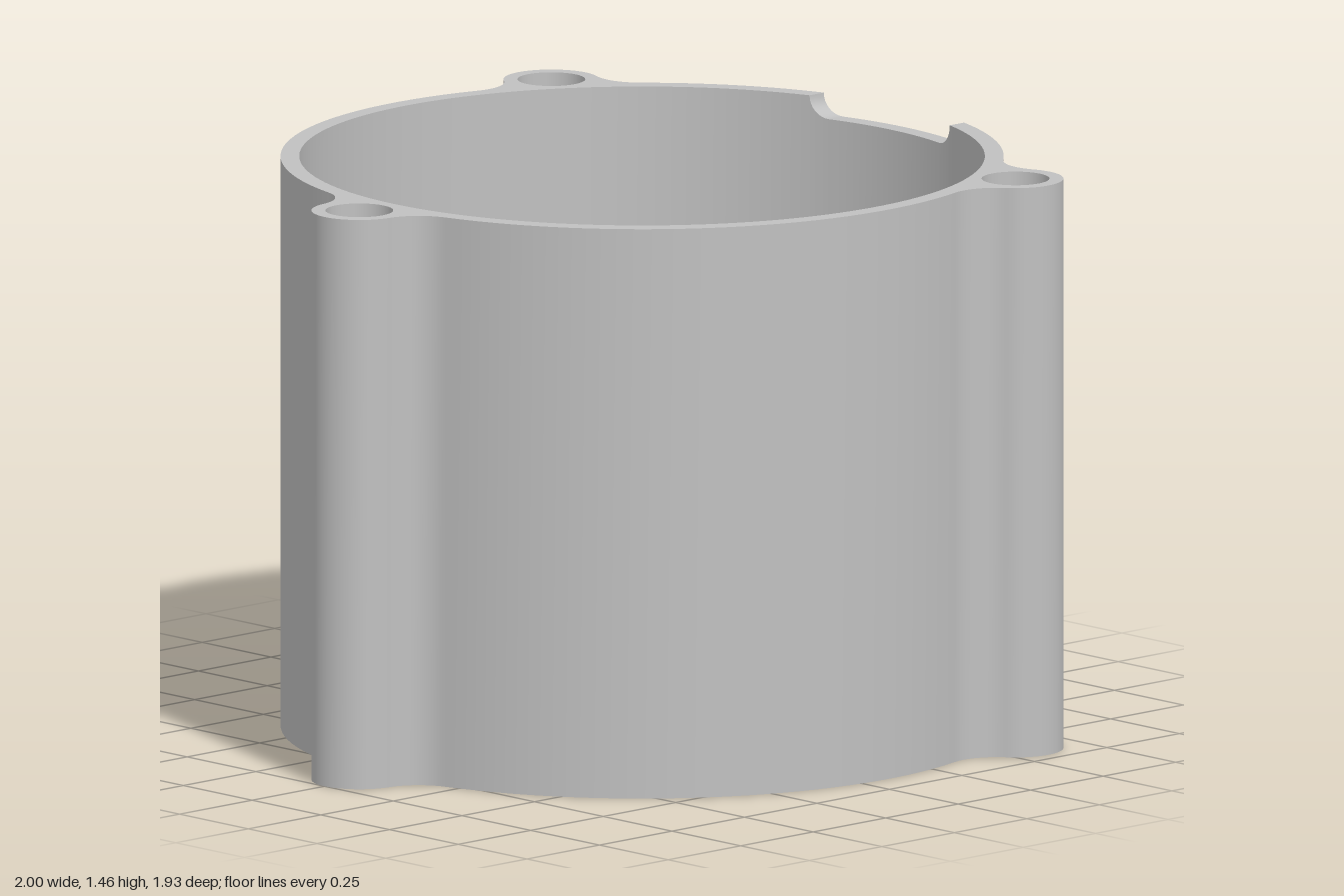
import * as THREE from 'three';

const H = 1.455, FLOOR = 0.05;                    // overall height, floor thickness
const CX = 0.095, R = 0.905, RI = 0.858;          // barrel centre and radii
const LUG_D = 0.975, LUG_R = 0.12, HOLE_R = 0.085, FILLET = 0.12;
const NOTCH = 0.255, NOTCH_R = 0.055;             // notch half width, depth and corner radius
const LUGS = [1, 3, 5].map((k) => k * Math.PI / 3);

// Points of an arc; plan coordinates are (x, -z)
function arc(cx, cy, r, a0, a1, n) {
  return Array.from({ length: n + 1 }, (_, i) => {
    const a = a0 + (a1 - a0) * i / n;
    return new THREE.Vector2(cx + r * Math.cos(a), cy + r * Math.sin(a));
  });
}

// Rim height along the notch
function rimHeight(p) {
  const s = Math.abs(p.y);
  if (p.x < 0.8 || s >= NOTCH - 1e-6) return H;
  const d = Math.max(0, s - (NOTCH - NOTCH_R));
  return H - Math.sqrt(Math.max(0, NOTCH_R ** 2 - d * d));
}

// Notch stations, finer in the rounded corners
function notchStations() {
  const corner = Array.from({ length: 9 }, (_, i) => NOTCH - NOTCH_R + NOTCH_R * Math.sin(i / 8 * Math.PI / 2));
  const flat = Array.from({ length: 11 }, (_, i) => (NOTCH - NOTCH_R) * (i / 6 - 5 / 6));
  return [...corner.map((s) => -s).reverse(), ...flat, ...corner];
}
const notchArc = (r) => notchStations().map((s) => new THREE.Vector2(CX + Math.sqrt(r * r - s * s), s));

// Barrel outline with three filleted lugs, from one notch end round to the other
function outerArc() {
  const D = R + FILLET, d = LUG_R + FILLET;
  const a = Math.acos((D * D + LUG_D ** 2 - d * d) / (2 * D * LUG_D));
  const b = Math.atan2(-D * Math.sin(a), D * Math.cos(a) - LUG_D);
  const fx = D * Math.cos(a), fy = D * Math.sin(a), PI = Math.PI;
  const lug = [
    ...arc(fx, -fy, FILLET, PI - a, PI + b, 12),
    ...arc(LUG_D, 0, LUG_R, b, -b, 28).slice(1),
    ...arc(fx, fy, FILLET, -PI - b, a - PI, 12).slice(1),
  ];
  const pts = [];
  let from = Math.asin(NOTCH / R);
  for (const L of LUGS) {
    pts.push(...arc(CX, 0, R, from, L - a, 30).slice(0, -1));
    pts.push(...lug.map((p) => p.clone().rotateAround(new THREE.Vector2(), L).add(new THREE.Vector2(CX, 0))));
    from = L + a;
  }
  pts.push(...arc(CX, 0, R, from, 2 * PI - Math.asin(NOTCH / R), 30).slice(1));
  return pts;
}

function indexed(positions, index) {
  const g = new THREE.BufferGeometry();
  g.setAttribute('position', new THREE.Float32BufferAttribute(positions, 3));
  g.setIndex(index);
  g.computeVertexNormals();
  return g;
}

// Closed upright wall along a loop; counter-clockwise loops face outward
function wall(loop, y0) {
  const pos = [], idx = [], n = loop.length;
  loop.forEach((p, i) => {
    pos.push(p.x, y0, -p.y, p.x, rimHeight(p), -p.y);
    const a = 2 * i, b = 2 * ((i + 1) % n);
    idx.push(a, b, b + 1, a, b + 1, a + 1);
  });
  return indexed(pos, idx);
}

// Strip facing up between the outer and inner notch arcs
function notchFloor(outer, inner) {
  const pos = [], idx = [];
  outer.forEach((p, i) => {
    const q = inner[i];
    pos.push(p.x, rimHeight(p), -p.y, q.x, rimHeight(q), -q.y);
    if (i) idx.push(2 * i - 2, 2 * i, 2 * i + 1, 2 * i - 2, 2 * i + 1, 2 * i - 1);
  });
  return indexed(pos, idx);
}

export function createModel() {
  const group = new THREE.Group();
  const grey = new THREE.MeshStandardMaterial({ color: 0xc0c0c0 });
  grey.name = 'light grey';
  const add = (name, geometry, x = 0, y = 0, z = 0) => {
    const m = new THREE.Mesh(geometry, grey);
    m.name = name;
    m.position.set(x, y, z);
    group.add(m);
  };

  const outer = outerArc(), outerNotch = notchArc(R), innerNotch = notchArc(RI);
  const half = Math.asin(NOTCH / RI);
  const inner = arc(CX, 0, RI, half, 2 * Math.PI - half, 140);
  const outerLoop = [...outerNotch.slice(1, -1), ...outer];
  const innerLoop = [...innerNotch.slice(1, -1), ...inner];

  // Barrel walls, base and cavity floor
  add('outerWall', wall(outerLoop, 0));
  add('innerWall', wall(innerLoop.slice().reverse(), FLOOR));
  add('base', new THREE.ShapeGeometry(new THREE.Shape(outerLoop)).rotateX(Math.PI / 2));
  add('cavityFloor', new THREE.CircleGeometry(RI, 120).rotateX(-Math.PI / 2), CX, FLOOR, 0);

  // Rim, open at the notch and pierced by the lug holes
  const rim = new THREE.Shape([...outer, ...inner.slice().reverse()]);
  for (const L of LUGS) {
    const x = CX + LUG_D * Math.cos(L), y = LUG_D * Math.sin(L);
    const hole = arc(x, y, HOLE_R, 2 * Math.PI, 0, 40).slice(0, -1);
    rim.holes.push(new THREE.Path(hole));
    add('lugHole', wall(hole, FLOOR));
    add('lugHoleFloor', new THREE.CircleGeometry(HOLE_R, 40).rotateX(-Math.PI / 2), x, FLOOR, -y);
  }
  add('rim', new THREE.ShapeGeometry(rim).rotateX(-Math.PI / 2), 0, H, 0);
  add('rimNotch', notchFloor(outerNotch, innerNotch));

  return group;
}
